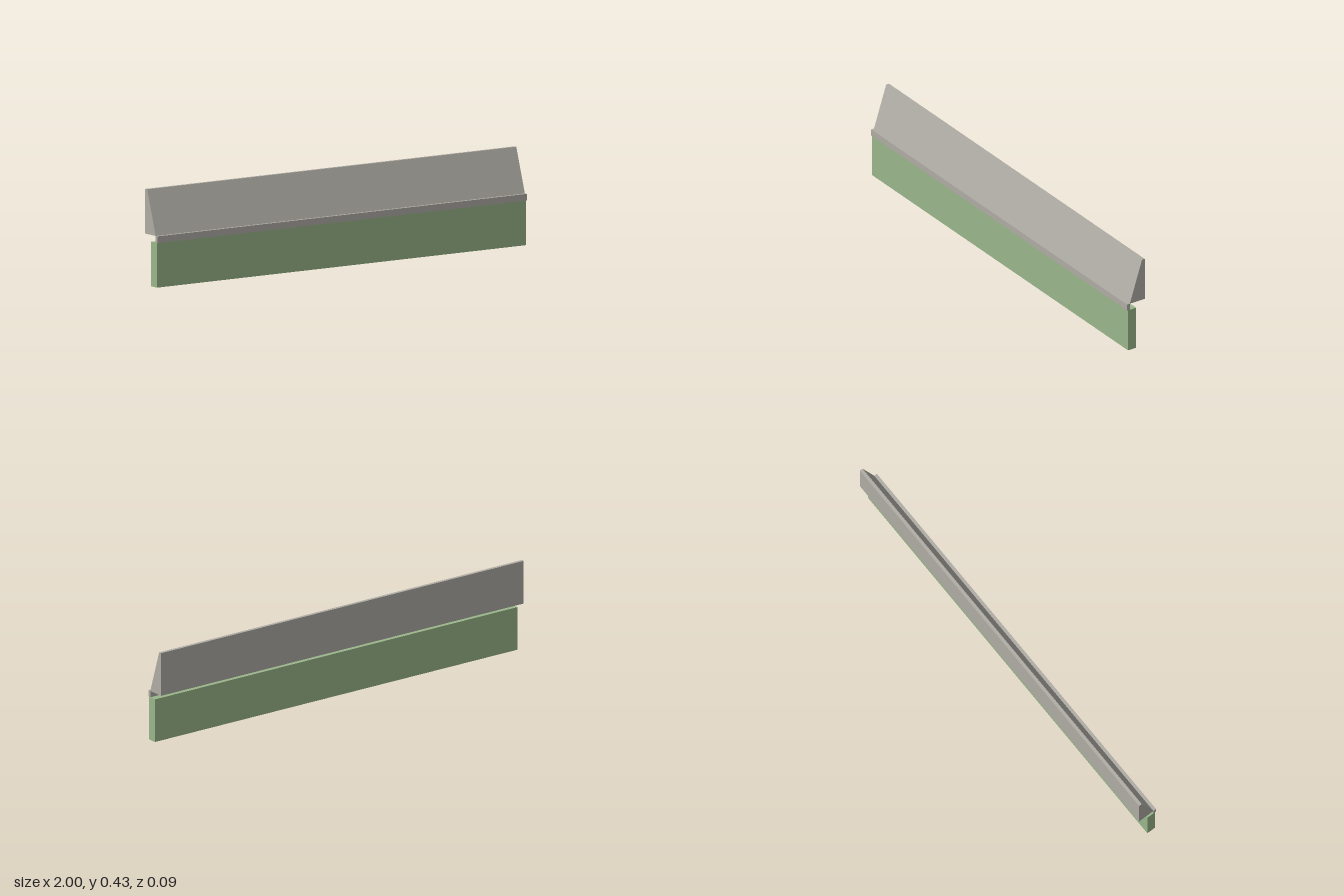
import * as THREE from 'three';

const LENGTH = 2;

export function createModel() {
  const group = new THREE.Group();
  group.name = 'ledgeWall';

  const stone = new THREE.MeshStandardMaterial({ color: 0xb0aca5 });
  stone.name = 'warm grey stone';
  const green = new THREE.MeshStandardMaterial({ color: 0x9ab68a });
  green.name = 'sage green';

  // Sweep a cross-section, given as [z, y] points, along the full length in x
  function addBar(name, profile, material) {
    const shape = new THREE.Shape(profile.map(([z, y]) => new THREE.Vector2(-z, y)));
    const geometry = new THREE.ExtrudeGeometry(shape, { depth: LENGTH, bevelEnabled: false });
    geometry.translate(0, 0, -LENGTH / 2);
    geometry.rotateY(Math.PI / 2);
    const mesh = new THREE.Mesh(geometry, material);
    mesh.name = name;
    group.add(mesh);
  }

  // Upright panel at the bottom
  addBar('lowerPanel', [[0.043, 0], [-0.001, 0], [-0.001, 0.2], [0.043, 0.2]], green);

  // Narrow lip overhanging the panel
  addBar('frontLip', [[0.048, 0.2], [0.033, 0.2], [0.033, 0.23], [0.048, 0.23]], stone);

  // Sloped coping with a vertical back and a narrow flat top
  addBar('slopedCoping', [[0.033, 0.23], [-0.047, 0.23], [-0.047, 0.43], [-0.032, 0.43]], stone);

  return group;
}
